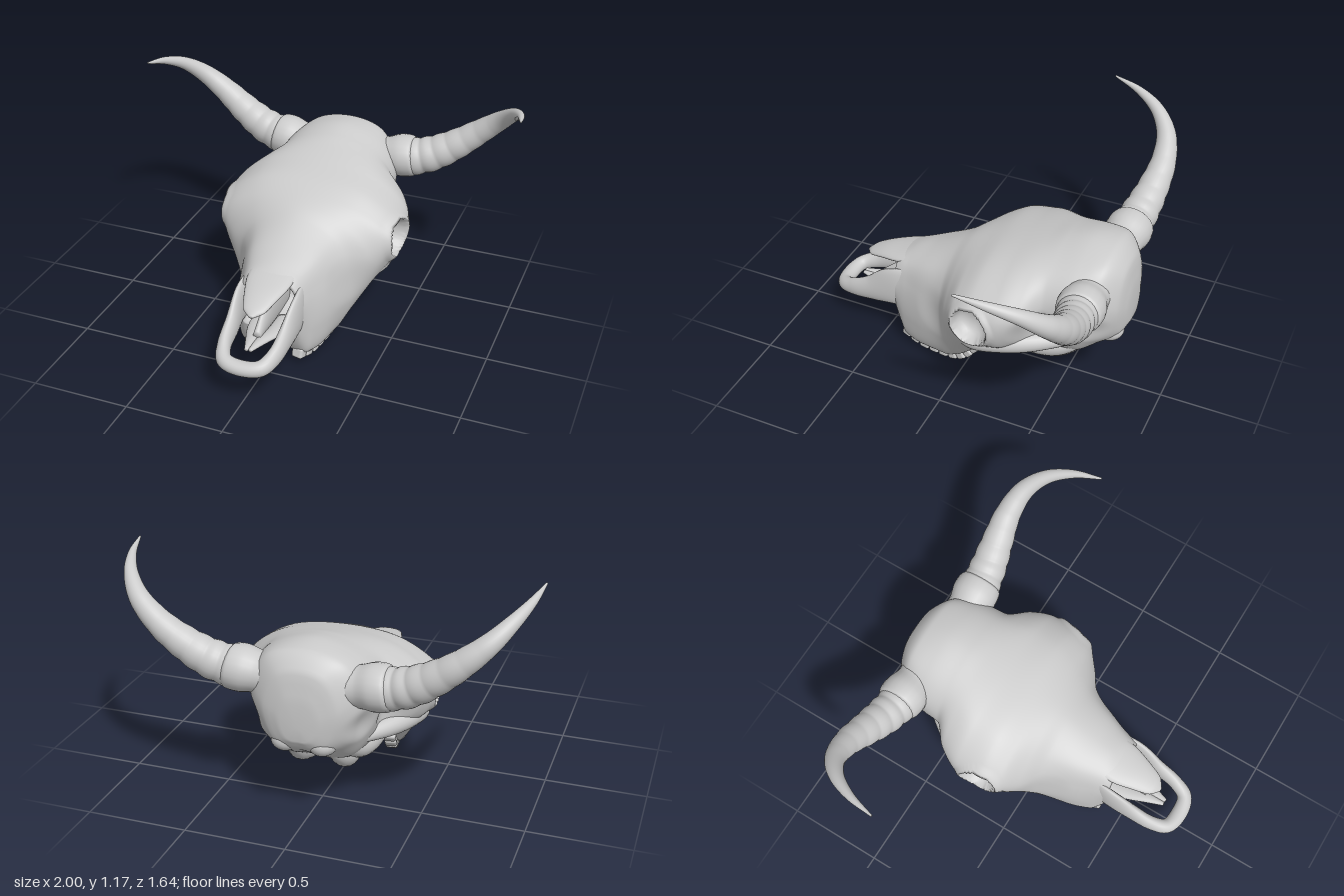
import * as THREE from 'three';
import { RoundedBoxGeometry } from 'three/addons/geometries/RoundedBoxGeometry.js';

const V = (x, y, z) => new THREE.Vector3(x, y, z);
const material = new THREE.MeshStandardMaterial({ color: 0xcccccc });

// Smooth closed surface through rings of equal length
function loft(rings) {
  const n = rings[0].length, pos = [], idx = [];
  const middle = r => r.reduce((s, p) => s.add(p), V(0, 0, 0)).divideScalar(n);
  const all = [rings[0].map(() => middle(rings[0])), ...rings, rings[0].map(() => middle(rings.at(-1)))];
  all.forEach(r => r.forEach(p => pos.push(p.x, p.y, p.z)));
  for (let i = 0; i < all.length - 1; i++) for (let j = 0; j < n; j++) {
    const a = i * n + j, b = i * n + (j + 1) % n, c = a + n, d = b + n;
    idx.push(a, c, b, b, c, d);
  }
  const g = new THREE.BufferGeometry();
  g.setAttribute('position', new THREE.Float32BufferAttribute(pos, 3));
  g.setIndex(idx);
  g.computeVertexNormals();
  return g;
}

// Elliptical sweep; each stop is [x, y, z, half width, half height]
function sweep(stops, steps = 36, sides = 22, ripple = () => 1) {
  const path = new THREE.CatmullRomCurve3(stops.map(s => V(s[0], s[1], s[2])));
  const size = new THREE.CatmullRomCurve3(stops.map(s => V(s[3], s[4], 0)), false, 'catmullrom');
  const rings = [];
  for (let i = 0; i <= steps; i++) {
    const t = i / steps, c = path.getPoint(t), T = path.getTangent(t), r = size.getPoint(t);
    const S = T.clone().cross(V(0, 1, 0)).normalize(), U = S.clone().cross(T), k = ripple(t), ring = [];
    for (let j = 0; j < sides; j++) {
      const a = j / sides * Math.PI * 2;
      ring.push(c.clone().addScaledVector(S, Math.cos(a) * r.x * k).addScaledVector(U, Math.sin(a) * r.y * k));
    }
    rings.push(ring);
  }
  return loft(rings);
}

// Stations from the back of the head to the muzzle, and outline rails along them
const Z = [-.82, -.79, -.7, -.6, -.47, -.38, -.27, -.15, -.05, .03, .1, .25, .35, .39, .42];
const crownY = [.64, .79, .87, .88, .86, .835, .805, .77, .73, .695, .655, .58, .54, .52, .505];
const browX = [.05, .11, .19, .22, .24, .26, .3, .3, .28, .24, .2, .16, .13, .12, .11];
const browY = [.63, .76, .82, .81, .79, .78, .75, .725, .68, .63, .585, .53, .5, .49, .48];
const sideX = [.08, .18, .27, .31, .33, .43, .475, .483, .452, .375, .29, .22, .18, .17, .165];
const sideY = [.57, .62, .68, .68, .66, .6, .59, .575, .55, .48, .44, .4, .4, .39, .38];
const cheekX = [.07, .16, .25, .28, .31, .37, .45, .468, .425, .34, .29, .24, .2, .18, .165];
const cheekY = [.5, .5, .48, .47, .45, .43, .42, .42, .39, .27, .22, .2, .2, .24, .28];
const outerX = [.05, .12, .17, .2, .19, .2, .25, .27, .25, .23, .22, .2, .17, .15, .14];
const lowerY = [.47, .43, .38, .32, .28, .28, .3, .25, .15, .08, .05, .05, .06, .12, .2];
const innerX = [.03, .06, .08, .1, .1, .1, .1, .17, .17, .15, .12, .1, .09, .09, .08];
const innerY = [.46, .41, .34, .28, .22, .2, .23, .25, .15, .08, .05, .05, .06, .12, .2];
const palateY = [.46, .41, .35, .29, .22, .21, .23, .28, .25, .22, .2, .19, .19, .19, .21];

// Cubic interpolation along the stations without overshoot
function rail(v, z) {
  let i = 0;
  while (i < Z.length - 2 && z > Z[i + 1]) i++;
  const slope = k => (v[k + 1] - v[k]) / (Z[k + 1] - Z[k]);
  const tangent = k => {
    if (k === 0) return slope(0);
    if (k === Z.length - 1) return slope(k - 1);
    const a = slope(k - 1), b = slope(k);
    return a * b <= 0 ? 0 : 2 * a * b / (a + b);
  };
  const h = Z[i + 1] - Z[i], t = (z - Z[i]) / h, u = 1 - t;
  return v[i] * (1 + 2 * t) * u * u + v[i + 1] * t * t * (3 - 2 * t)
    + h * t * u * (u * tangent(i) - t * tangent(i + 1));
}

// Soft hollows in the side of the head: z, y, radius, depth
const hollows = [[-.45, .5, .13, .04], [-.2, .28, .1, .08], [-.68, .52, .1, .025], [.12, .36, .14, .01]];

// How far the side of the head is pressed in at a point
function pressedIn(z, y) {
  let cut = 0;
  for (const [hz, hy, r, depth] of hollows)
    cut += depth * Math.max(0, 1 - ((z - hz) ** 2 + (y - hy) ** 2) / (r * r)) ** 2;
  // Eye socket bowl with a slightly raised rim
  const d = Math.hypot(z + .15, y - .51) / .097;
  if (d < 1) cut += .11 * (1 - d * d) ** .55;
  return cut - .01 * Math.max(0, 1 - ((d - 1.08) / .25) ** 2);
}

function skullGeometry() {
  const around = 180, rows = 150, rings = [];
  for (let i = 0; i <= rows; i++) {
    const z = Z[0] + (Z.at(-1) - Z[0]) * i / rows, at = v => rail(v, z);
    const half = [[at(browX), at(browY)], [at(sideX), at(sideY)], [at(cheekX), at(cheekY)],
      [at(outerX), at(lowerY)], [at(innerX), at(innerY)]];
    const loop = new THREE.CatmullRomCurve3([V(0, at(crownY), z), ...half.map(p => V(p[0], p[1], z)),
      V(0, at(palateY), z), ...half.slice().reverse().map(p => V(-p[0], p[1], z))], true);
    const ring = [];
    for (let j = 0; j < around; j++) {
      const p = loop.getPoint(j / around);
      if (Math.abs(p.x) > .16) p.x -= Math.sign(p.x) * pressedIn(p.z, p.y);
      ring.push(p);
    }
    rings.push(ring);
  }
  // Nasal cavity folded back inside the muzzle
  const rim = rings.at(-1);
  for (const [k, z] of [[.93, .425], [.86, .41], [.8, .3], [.7, .2]])
    rings.push(rim.map(p => V(p.x * k, .35 + (p.y - .35) * k, z)));
  return loft(rings);
}

export function createModel() {
  const model = new THREE.Group();
  const add = (name, geometry, parent = model) => {
    const m = new THREE.Mesh(geometry, material);
    m.name = name;
    parent.add(m);
    return m;
  };

  add('skull', skullGeometry());
  add('nasalBone', sweep([[0, .53, .24, .12, .03], [0, .48, .42, .115, .028], [0, .452, .53, .085, .025],
    [0, .425, .61, .055, .018], [0, .41, .645, .012, .008]]));
  add('nasalSeptum', sweep([[0, .34, .2, .02, .12], [0, .31, .42, .025, .09], [0, .26, .58, .02, .025]]));

  // U-shaped front of the upper jaw
  const arm = [[.14, .34, .33, .025, .125], [.148, .33, .43, .027, .115], [.14, .275, .56, .033, .075],
    [.128, .237, .68, .034, .05], [.092, .215, .755, .038, .04]];
  const otherArm = arm.slice().reverse().map(([x, ...rest]) => [-x, ...rest]);
  add('upperJawTip', sweep([...arm, [0, .207, .775, .042, .037], ...otherArm], 90));

  for (const s of [1, -1]) {
    const side = new THREE.Group();
    side.name = s > 0 ? 'leftSide' : 'rightSide';
    model.add(side);
    const tube = (name, stops, ...rest) =>
      add(name, sweep(stops.map(([x, ...o]) => [x * s, ...o]), ...rest), side);

    // Horn with growth rings fading towards the tip
    const rings = t => t > .6 ? 1 : 1 + .09 * (1 - t / .6) * (Math.abs(Math.sin(t * 36)) - .6);
    tube('horn', [[.36, .705, -.66, .1, .1], [.48, .742, -.675, .093, .093], [.6, .81, -.692, .08, .08],
      [.72, .9, -.7, .065, .065], [.83, .995, -.67, .05, .05], [.91, 1.075, -.59, .035, .035],
      [.965, 1.13, -.47, .021, .021], [.997, 1.167, -.325, .005, .005]], 130, 28, rings);
    tube('hornCore', [[.17, .69, -.65, .11, .1], [.25, .7, -.655, .105, .1], [.32, .71, -.66, .118, .113],
      [.38, .714, -.664, .112, .108], [.405, .718, -.665, .09, .09]]);

    // Cheek arch and underside of the braincase
    tube('cheekArch', [[.33, .33, 0, .02, .02], [.385, .365, -.13, .045, .05], [.375, .385, -.27, .048, .05],
      [.315, .395, -.41, .05, .05], [.22, .4, -.58, .03, .03]]);
    tube('skullBaseWing', [[.1, .29, -.12, .01, .02], [.09, .215, -.23, .04, .075], [.095, .205, -.34, .055, .065],
      [.11, .25, -.48, .06, .07], [.1, .35, -.65, .02, .03]]);
    tube('jawJoint', [[.26, .37, -.22, .02, .02], [.22, .325, -.36, .06, .065], [.19, .32, -.5, .06, .065],
      [.16, .4, -.66, .03, .03]]);
    tube('nasalFloor', [[.06, .225, .34, .05, .02], [.05, .235, .48, .04, .018], [.025, .245, .59, .028, .016],
      [.01, .25, .685, .01, .009]]);

    // Condyle beside the neck joint
    const condyle = add('neckCondyle', new THREE.SphereGeometry(.075, 28, 20), side);
    condyle.scale.set(.95, .8, 1);
    condyle.position.set(.09 * s, .425, -.73);

    // Row of cheek teeth
    const row = new THREE.CatmullRomCurve3([V(.13, .055, .355), V(.15, .034, .27), V(.165, .029, .16),
      V(.18, .04, .07), V(.195, .08, 0), V(.205, .15, -.06)]);
    const count = 9;
    for (let i = 0; i < count; i++) {
      const p = row.getPointAt(i / (count - 1)), d = row.getTangentAt(i / (count - 1));
      const tooth = add('tooth', new RoundedBoxGeometry(.062, .058, .056, 3, .014), side);
      tooth.position.set(p.x * s, p.y, p.z);
      tooth.lookAt(p.x * s - d.x * s, p.y - d.y, p.z - d.z);
    }
  }
  return model;
}
